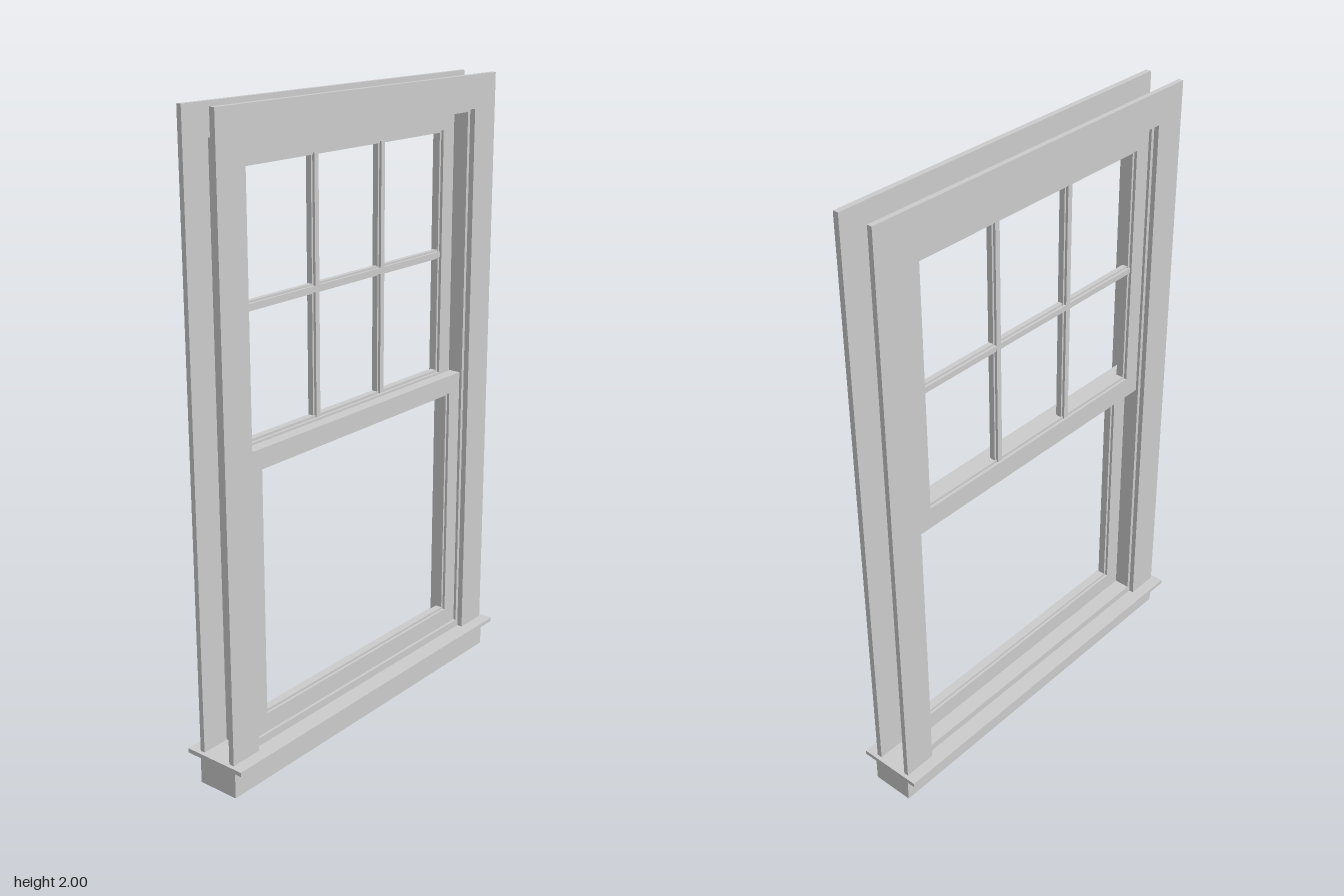
import * as THREE from 'three';

const material = new THREE.MeshStandardMaterial({ color: 0xcccccc });

function add(group, name, geometry) {
  const mesh = new THREE.Mesh(geometry, material);
  mesh.name = name;
  group.add(mesh);
  return mesh;
}

// Box given by its limits on each axis
function box(group, name, x0, x1, y0, y1, z0, z1) {
  const mesh = add(group, name, new THREE.BoxGeometry(x1 - x0, y1 - y0, z1 - z0));
  mesh.position.set((x0 + x1) / 2, (y0 + y1) / 2, (z0 + z1) / 2);
  return mesh;
}

// Flat panel from corner points, extruded from z0 to z1
function plate(group, name, points, z0, z1, hole) {
  const shape = new THREE.Shape(points.map(([x, y]) => new THREE.Vector2(x, y)));
  if (hole) shape.holes.push(new THREE.Path(hole.map(([x, y]) => new THREE.Vector2(x, y))));
  const geometry = new THREE.ExtrudeGeometry(shape, { depth: z1 - z0, bevelEnabled: false });
  add(group, name, geometry.translate(0, 0, z0));
}

const rect = (w, y0, y1) => [[-w, y0], [w, y0], [w, y1], [-w, y1]];

// Flat trim with mitred top corners
function casing(name, z0, z1) {
  const group = new THREE.Group();
  group.name = name;
  const out = 0.635, inn = 0.525, top = 2, head = 1.895, foot = 0.105;
  plate(group, 'headCasing', [[-inn, head], [inn, head], [out, top], [-out, top]], z0, z1);
  plate(group, 'leftCasing', [[inn, foot], [out, foot], [out, top], [inn, head]], z0, z1);
  plate(group, 'rightCasing', [[-out, foot], [-inn, foot], [-inn, head], [-out, top]], z0, z1);
  return group;
}

// Sash: thick outer frame with a thinner glazing lip around its opening
function sash(name, y0, y1, open0, open1, z0, z1) {
  const group = new THREE.Group();
  group.name = name;
  const zm = (z0 + z1) / 2, w = 0.457, lip = 0.008;
  plate(group, 'sashFrame', rect(0.514, y0, y1), z0, z1, rect(w, open0, open1));
  plate(group, 'glazingLip', rect(w, open0, open1), zm - 0.011, zm + 0.011,
    rect(w - lip, open0 + lip, open1 - lip));
  return group;
}

export function createModel() {
  const model = new THREE.Group();
  model.name = 'sashWindow';

  // Base and projecting sill
  box(model, 'apron', -0.637, 0.637, 0, 0.091, -0.068, 0.072);
  box(model, 'sill', -0.648, 0.648, 0.091, 0.105, -0.108, 0.106);

  // Frame lining the wall opening
  plate(model, 'jambFrame', rect(0.54, 0.105, 1.905), -0.053, 0.048, rect(0.513, 0.13, 1.885));

  // Trim on both faces
  model.add(casing('frontCasing', 0.048, 0.066), casing('backCasing', -0.069, -0.053));

  // Lower sash in front, upper sash behind
  model.add(sash('lowerSash', 0.13, 1.035, 0.19, 0.976, 0, 0.039));
  const upper = sash('upperSash', 0.972, 1.885, 1.04, 1.83, -0.044, -0.004);
  model.add(upper);

  // Muntins: slim deep bar with a wider thin web
  for (const [half, depth] of [[0.009, 0.016], [0.015, 0.008]]) {
    for (const x of [-0.154, 0.154])
      box(upper, 'verticalMuntin', x - half, x + half, 1.042, 1.828, -0.024 - depth, -0.024 + depth);
    box(upper, 'horizontalMuntin', -0.455, 0.455, 1.435 - half, 1.435 + half,
      -0.0235 - depth, -0.0245 + depth);
  }

  return model;
}
